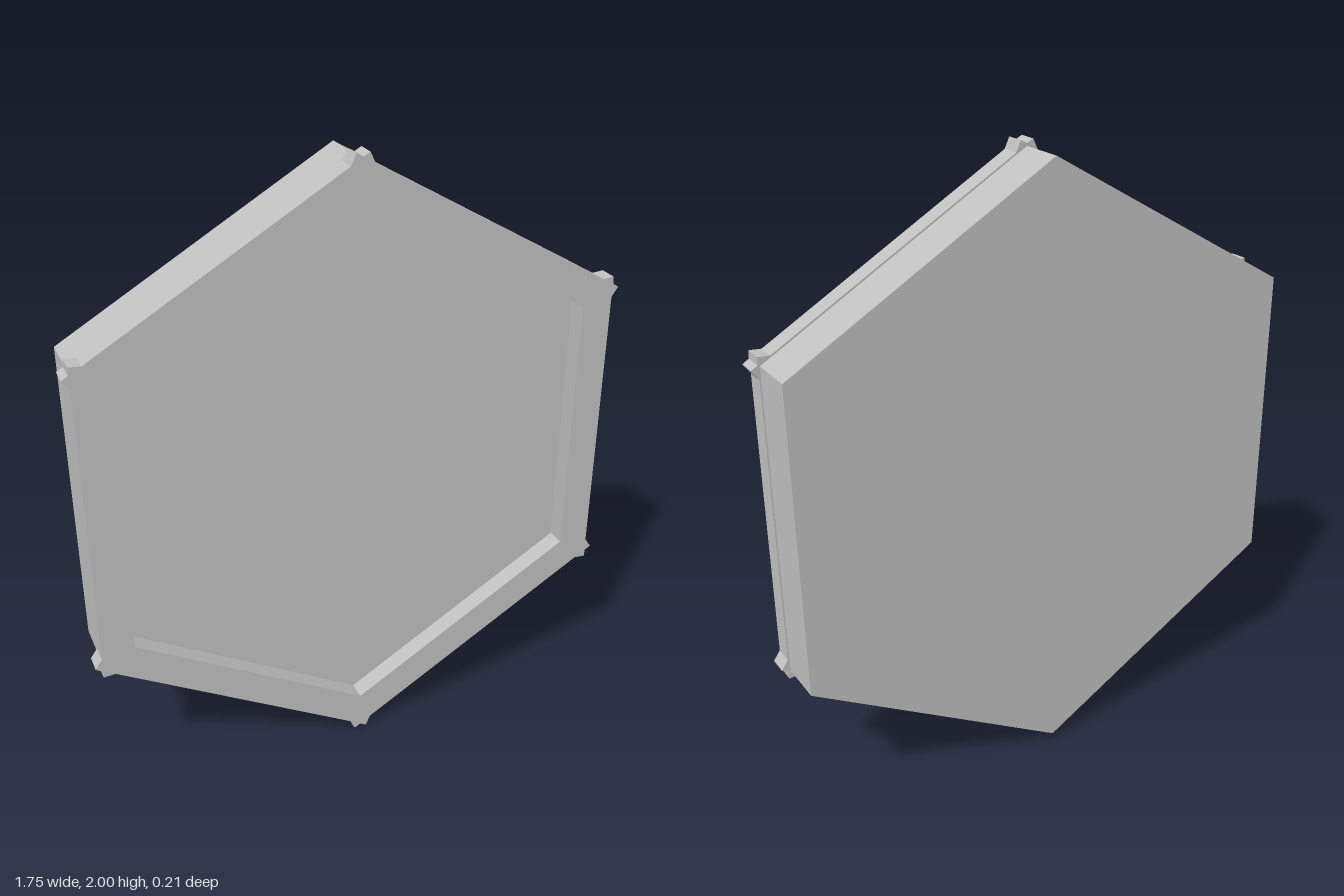
import * as THREE from 'three';

const grey = new THREE.MeshStandardMaterial({ color: 0xc0c0c0 });
grey.name = 'grey';

// point at radius r along corner k, shifted t sideways
function cornerPoint(k, r, t = 0) {
  const a = Math.PI / 2 + (k * Math.PI) / 3;
  return new THREE.Vector2(
    r * Math.cos(a) - t * Math.sin(a),
    r * Math.sin(a) + t * Math.cos(a)
  );
}

// outline repeating one corner profile of [radius, sideways] pairs six times
function hexOutline(profile) {
  const points = [];
  for (let k = 0; k < 6; k++) {
    for (const [r, t] of profile) points.push(cornerPoint(k, r, t));
  }
  return points;
}

function addSlab(group, name, shape, z, depth) {
  const geometry = new THREE.ExtrudeGeometry(shape, { depth, bevelEnabled: false });
  const mesh = new THREE.Mesh(geometry, grey);
  mesh.name = name;
  mesh.position.set(0, 1, z);
  group.add(mesh);
}

export function createModel() {
  const group = new THREE.Group();
  group.name = 'hexagonalTile';

  // solid backing, whose front is the recessed floor
  addSlab(group, 'body', new THREE.Shape(hexOutline([[0.981, 0]])), -0.107, 0.152);

  // raised frame with a small forked ear on every corner
  const ear = [[0.966, -0.037], [1, -0.021], [0.989, 0], [1, 0.021], [0.966, 0.037]];
  const frame = new THREE.Shape(hexOutline(ear));
  frame.holes.push(new THREE.Path(hexOutline([[0.867, 0]]).reverse()));
  addSlab(group, 'frame', frame, 0.045, 0.062);

  return group;
}
